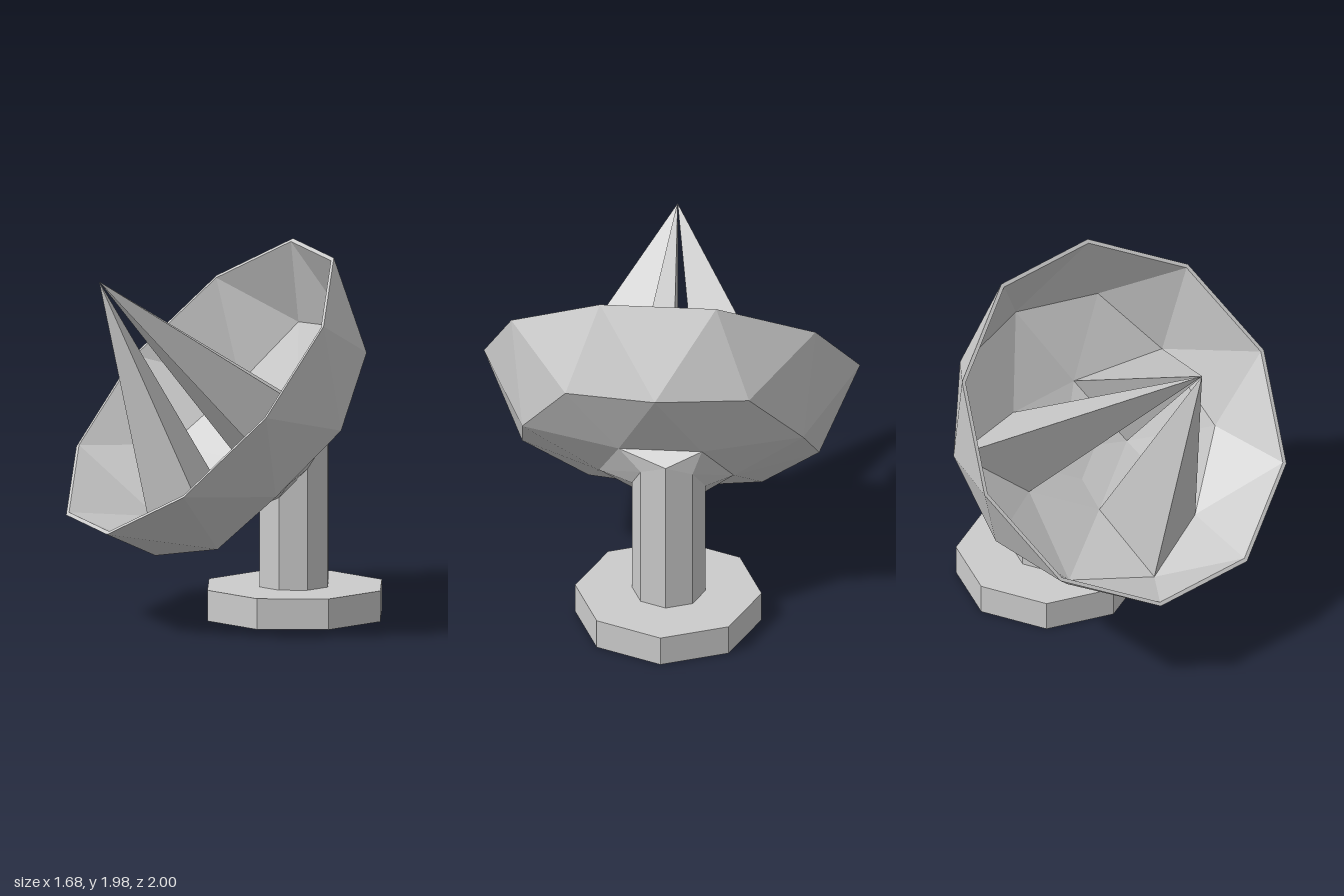
import * as THREE from 'three';
import { ConvexGeometry } from 'three/addons/geometries/ConvexGeometry.js';

const grey = new THREE.MeshStandardMaterial({ color: 0xcccccc, flatShading: true });

// Dish frame: centre of the rim, "up the rim" direction, depth direction (away from the feed)
const CENTRE = new THREE.Vector3(-0.205, 1.265, 0);
const UP = new THREE.Vector3(0.669, 0.743, 0);
const DEPTH = new THREE.Vector3(0.743, -0.669, 0);

function dishPoint(degrees, radius, depth) {
  const a = THREE.MathUtils.degToRad(degrees + 1.15);
  const p = CENTRE.clone().addScaledVector(UP, radius * Math.cos(a)).addScaledVector(DEPTH, depth);
  p.z += radius * Math.sin(a);
  return p;
}

// Rings of half a faceted sphere; scale and lift give the inner skin
function dishRings(scale, lift) {
  const rim = [], mid = [], low = [];
  for (let k = 0; k < 10; k++) {
    rim.push(dishPoint(36 * k + 18, scale, 0));
    mid.push(k % 2 ? dishPoint(36 * k, 0.83 * scale, 0.415 - lift)
      : dishPoint(36 * k, 0.785 * scale, 0.48 - lift));
    low.push(dishPoint(36 * k, 0.376 * scale, 0.6 - lift)); // only odd ones are used
  }
  return { rim, mid, low, pole: dishPoint(0, 0, 0.64 - lift) };
}

function skinTriangles({ rim, mid, low, pole }) {
  const tris = [];
  const at = (ring, k) => ring[(k + 10) % 10];
  for (let k = 0; k < 10; k++) {
    tris.push([at(rim, k - 1), rim[k], mid[k]], [rim[k], at(mid, k + 1), mid[k]]);
    if (k % 2) {
      tris.push([at(mid, k - 1), mid[k], low[k]], [mid[k], at(mid, k + 1), low[k]],
        [at(mid, k + 1), at(low, k + 2), low[k]], [low[k], at(low, k + 2), pole]);
    }
  }
  return tris;
}

function addMesh(group, name, geometry) {
  const mesh = new THREE.Mesh(geometry, grey);
  mesh.name = name;
  group.add(mesh);
  return mesh;
}

export function createModel() {
  const model = new THREE.Group();
  model.name = 'dishAntenna';
  const outer = dishRings(1, 0);
  const inner = dishRings(0.978, 0.02);

  // Dish: outer skin, reversed inner skin and the thin rim between them
  const tris = skinTriangles(outer);
  for (const [a, b, c] of skinTriangles(inner)) tris.push([a, c, b]);
  for (let k = 0; k < 10; k++) {
    const n = (k + 1) % 10;
    tris.push([outer.rim[k], inner.rim[n], outer.rim[n]], [outer.rim[k], inner.rim[k], inner.rim[n]]);
  }
  const dish = new THREE.BufferGeometry().setFromPoints(tris.flat());
  dish.computeVertexNormals();
  addMesh(model, 'dish', dish);

  // Feed struts: long spikes from facets of the dish to one shared tip
  const tip = new THREE.Vector3(-0.785, 1.865, 0.02);
  const foot = dishRings(0.985, 0.012);
  const feet = [
    [foot.low[1], foot.low[3], foot.mid[2]],
    [foot.low[7], foot.low[9], foot.mid[8]],
    [foot.low[5], foot.mid[5], foot.mid[4]],
  ];
  for (const f of feet) addMesh(model, 'feedStrut', new ConvexGeometry([...f, tip]));

  // Base plate
  const base = addMesh(model, 'base', new THREE.CylinderGeometry(0.495, 0.495, 0.165, 8));
  base.position.set(0.343, 0.0825, -0.028);

  // Post with its top cut parallel to the dish
  const cutHeight = (x) => 0.815 + 1.113 * x;
  const post = new THREE.CylinderGeometry(0.195, 0.195, 0.7, 8);
  const pos = post.attributes.position;
  for (let i = 0; i < pos.count; i++) {
    pos.setY(i, pos.getY(i) > 0 ? cutHeight(pos.getX(i)) : 0.15);
  }
  post.computeVertexNormals();
  addMesh(model, 'post', post).position.set(0.34, 0, -0.03);

  // Neck bridging the cut post to the flat back of the dish
  const neck = outer.low.filter((_, k) => k % 2);
  for (let k = 0; k < 8; k++) {
    const a = k * Math.PI / 4, x = 0.195 * Math.cos(a);
    neck.push(new THREE.Vector3(0.34 + x, cutHeight(x), -0.03 + 0.195 * Math.sin(a)));
  }
  addMesh(model, 'neck', new ConvexGeometry(neck));

  return model;
}
